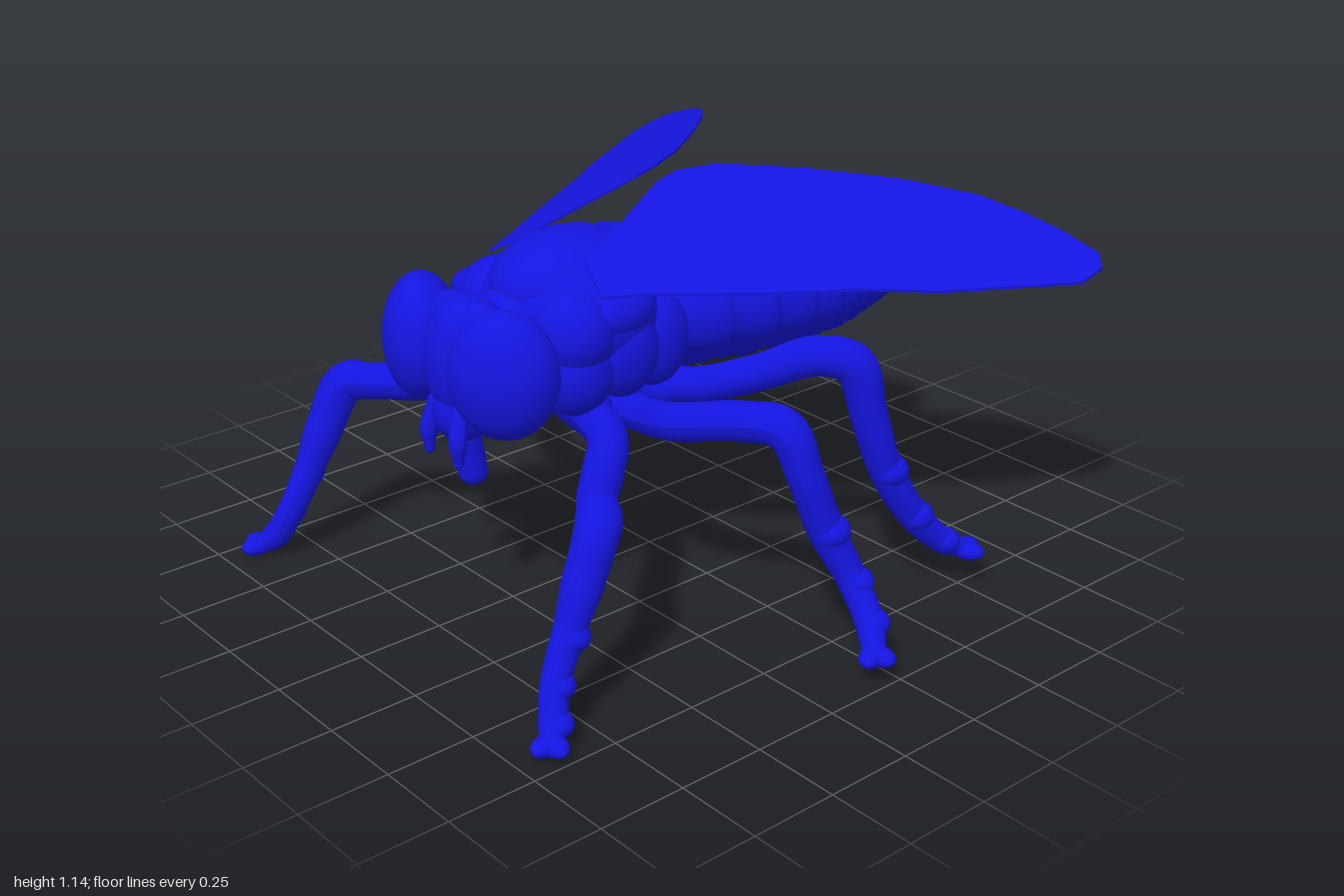
import * as THREE from 'three';

const material = new THREE.MeshStandardMaterial({ color: 0x1515e0, side: THREE.DoubleSide });

function add(parent, name, geometry) {
  const mesh = new THREE.Mesh(geometry, material);
  mesh.name = name;
  parent.add(mesh);
  return mesh;
}

function ellipsoid(parent, name, [x, y, z], [rx, ry, rz], rotY = 0) {
  const mesh = add(parent, name, new THREE.SphereGeometry(1, 32, 20));
  mesh.position.set(x, y, z);
  mesh.scale.set(rx, ry, rz);
  mesh.rotation.y = rotY;
}

// Tube through points [x, y, z, radius], mirrored by side, with rounded ends
function limb(parent, name, points, side = 1) {
  const curve = new THREE.CatmullRomCurve3(points.map(p => new THREE.Vector3(p[0] * side, p[1], p[2])));
  curve.getPointAt = curve.getPoint;
  curve.getTangentAt = curve.getTangent;
  const steps = (points.length - 1) * 7, radial = 14;
  const geo = new THREE.TubeGeometry(curve, steps, 1, radial);
  const pos = geo.attributes.position, v = new THREE.Vector3();
  for (let i = 0; i <= steps; i++) {
    const t = i / steps, c = curve.getPoint(t);
    const k = Math.min(Math.floor(t * (points.length - 1)), points.length - 2);
    const f = THREE.MathUtils.smoothstep(t * (points.length - 1) - k, 0, 1);
    const r = THREE.MathUtils.lerp(points[k][3], points[k + 1][3], f);
    for (let j = 0; j <= radial; j++) {
      const n = i * (radial + 1) + j;
      v.fromBufferAttribute(pos, n).sub(c).multiplyScalar(r).add(c);
      pos.setXYZ(n, v.x, v.y, v.z);
    }
  }
  geo.computeVertexNormals();
  add(parent, name, geo);
  for (const p of [points[0], points.at(-1)])
    ellipsoid(parent, name + 'End', [p[0] * side, p[1], p[2]], [p[3], p[3], p[3]]);
}

// Overlapping abdomen plates: each flares towards the rear, then steps in
function abdomenGeometry() {
  // z, half width, top, bottom
  const profile = [
    [0.12, 0.2, 0.9, 0.6], [0, 0.235, 0.93, 0.575], [-0.25, 0.27, 0.94, 0.55],
    [-0.4, 0.28, 0.935, 0.545], [-0.54, 0.265, 0.915, 0.535], [-0.67, 0.215, 0.875, 0.535],
    [-0.75, 0.172, 0.85, 0.538], [-0.86, 0.11, 0.79, 0.54], [-0.92, 0.07, 0.72, 0.545],
    [-0.955, 0.03, 0.645, 0.57]];
  const bounds = [0.1, -0.1, -0.25, -0.385, -0.5, -0.61, -0.68, -0.75, -0.82, -0.88, -0.925, -0.95];
  const sample = z => {
    let k = 0;
    while (k < profile.length - 2 && z < profile[k + 1][0]) k++;
    const a = profile[k], b = profile[k + 1], f = (z - a[0]) / (b[0] - a[0]);
    return a.map((value, i) => value + (b[i] - value) * f);
  };
  const n = 48, positions = [], index = [];
  let rings = 0;
  const ring = (z, scale) => {
    const [, w, top, bottom] = sample(z);
    for (let j = 0; j < n; j++) {
      const a = j / n * Math.PI * 2, sin = Math.sin(a);
      // Groove between back plates and belly plates
      const s = scale * (1 - 0.05 * Math.exp(-(((sin + 0.55) / 0.1) ** 2)));
      positions.push(Math.cos(a) * w * s, (top + bottom) / 2 + sin * (top - bottom) / 2 * s, z);
    }
    rings++;
  };
  ring(bounds[0], 0.01);
  for (let i = 0; i < bounds.length - 1; i++) {
    const a = bounds[i], b = bounds[i + 1];
    for (const [f, s] of [[0, 0.95], [0.25, 0.98], [0.6, 1.005], [0.88, 1.015], [0.98, 0.995]])
      ring(a + (b - a) * f, s);
  }
  ring(-0.954, 0.6);
  ring(-0.955, 0.01);
  for (let i = 0; i < rings - 1; i++)
    for (let j = 0; j < n; j++) {
      const a = i * n + j, b = i * n + (j + 1) % n;
      index.push(a, a + n, b, b, a + n, b + n);
    }
  const geo = new THREE.BufferGeometry();
  geo.setAttribute('position', new THREE.Float32BufferAttribute(positions, 3));
  geo.setIndex(index);
  geo.computeVertexNormals();
  return geo;
}

// Flat wing outline in x and z, then sheared onto its sloping plane
function wingGeometry(side) {
  const outline = [
    [0.13, 0.33], [0.09, 0.18], [0.04, 0.01], [0.04, -0.06], [0.085, -0.17], [0.24, -0.37],
    [0.41, -0.56], [0.57, -0.7], [0.69, -0.765], [0.79, -0.805], [0.89, -0.83], [0.925, -0.8],
    [0.925, -0.72], [0.85, -0.59], [0.73, -0.385], [0.6, -0.205], [0.475, 0], [0.3, 0.26], [0.24, 0.37]];
  const shape = new THREE.Shape(outline.map(([x, z]) => new THREE.Vector2(x * side, -z)));
  const geo = new THREE.ExtrudeGeometry(shape, { depth: 0.008, bevelEnabled: false });
  geo.rotateX(-Math.PI / 2);
  const pos = geo.attributes.position;
  for (let i = 0; i < pos.count; i++)
    pos.setY(i, pos.getY(i) + 1.131 - 0.459 * Math.abs(pos.getX(i)) - 0.264 * pos.getZ(i));
  geo.computeVertexNormals();
  return geo;
}

// Leg paths: x, y, z, radius from the body to the foot
const legs = {
  frontLeg: [
    [0.08, 0.6, 0.36, 0.06], [0.27, 0.56, 0.38, 0.055], [0.4, 0.525, 0.5, 0.055], [0.5, 0.52, 0.6, 0.052],
    [0.57, 0.505, 0.65, 0.06], [0.59, 0.38, 0.715, 0.054], [0.6, 0.25, 0.775, 0.042],
    [0.615, 0.14, 0.83, 0.038], [0.65, 0.06, 0.865, 0.038], [0.675, 0.035, 0.89, 0.03]],
  middleLeg: [
    [0.08, 0.57, 0.24, 0.06], [0.26, 0.57, 0.24, 0.05], [0.4, 0.6, 0.25, 0.052], [0.57, 0.64, 0.18, 0.054],
    [0.68, 0.64, 0.13, 0.057], [0.73, 0.52, 0.1, 0.05], [0.76, 0.36, 0.05, 0.05],
    [0.82, 0.22, 0.005, 0.042], [0.89, 0.13, 0.01, 0.04], [0.94, 0.075, 0.04, 0.034]],
  rearLeg: [
    [0.08, 0.59, 0.1, 0.06], [0.24, 0.6, 0.06, 0.05], [0.4, 0.66, -0.04, 0.052], [0.52, 0.72, -0.14, 0.056],
    [0.585, 0.695, -0.215, 0.059], [0.615, 0.55, -0.25, 0.052], [0.64, 0.38, -0.3, 0.048],
    [0.675, 0.23, -0.38, 0.044], [0.715, 0.14, -0.46, 0.038], [0.745, 0.11, -0.51, 0.028]]
};

export function createModel() {
  const model = new THREE.Group();
  model.name = 'fly';

  // Thorax
  const thorax = new THREE.Group();
  thorax.name = 'thorax';
  model.add(thorax);
  ellipsoid(thorax, 'thoraxBack', [0, 0.82, 0.29], [0.265, 0.19, 0.24]);
  ellipsoid(thorax, 'thoraxDome', [0, 0.895, 0.28], [0.19, 0.14, 0.235]);
  ellipsoid(thorax, 'thoraxBelly', [0, 0.73, 0.28], [0.25, 0.17, 0.25]);
  ellipsoid(thorax, 'scutellum', [0, 0.94, 0.12], [0.13, 0.07, 0.1]);
  ellipsoid(thorax, 'neck', [0, 0.77, 0.5], [0.15, 0.14, 0.08]);

  // Abdomen
  add(model, 'abdomen', abdomenGeometry());

  // Head with mouthparts
  const head = new THREE.Group();
  head.name = 'head';
  model.add(head);
  ellipsoid(head, 'skull', [0, 0.77, 0.615], [0.23, 0.16, 0.1]);
  ellipsoid(head, 'face', [0, 0.755, 0.635], [0.12, 0.18, 0.1]);
  ellipsoid(head, 'snout', [0, 0.62, 0.65], [0.085, 0.09, 0.075]);
  limb(head, 'proboscis', [[0, 0.6, 0.65, 0.045], [0, 0.5, 0.63, 0.04], [0, 0.43, 0.62, 0.04]]);

  for (const side of [1, -1]) {
    const label = side > 0 ? 'left' : 'right';
    ellipsoid(head, label + 'Eye', [side * 0.18, 0.77, 0.642], [0.15, 0.176, 0.107], side * 0.6);
    limb(head, label + 'Palp',
      [[0.05, 0.64, 0.69, 0.025], [0.065, 0.56, 0.71, 0.025], [0.065, 0.5, 0.71, 0.014]], side);

    // Thorax side plates and wing root
    ellipsoid(thorax, label + 'Shoulder', [side * 0.16, 0.82, 0.4], [0.115, 0.12, 0.115]);
    ellipsoid(thorax, label + 'FrontPlate', [side * 0.17, 0.71, 0.4], [0.095, 0.12, 0.11]);
    ellipsoid(thorax, label + 'MiddlePlate', [side * 0.19, 0.74, 0.26], [0.085, 0.13, 0.11]);
    ellipsoid(thorax, label + 'RearPlate', [side * 0.17, 0.74, 0.13], [0.085, 0.14, 0.1]);
    ellipsoid(thorax, label + 'WingRoot', [side * 0.19, 0.86, 0.29], [0.085, 0.075, 0.13]);

    add(model, label + 'Wing', wingGeometry(side));

    // Legs with hip, shin knobs and a two-lobed foot
    for (const [name, path] of Object.entries(legs)) {
      const leg = new THREE.Group();
      leg.name = label + name[0].toUpperCase() + name.slice(1);
      model.add(leg);
      limb(leg, 'limb', path, side);
      const [hx, hy, hz] = path[0];
      ellipsoid(leg, 'hip', [side * (hx + 0.06), hy, hz], [0.1, 0.065, 0.07]);
      for (const k of [6, 7, 8]) {
        const [x, y, z, r] = path[k];
        ellipsoid(leg, 'knob', [side * (x + 0.008), y - 0.003, z - 0.008], [r * 1.1, r * 0.95, r * 1.1]);
      }
      const [x, y, z] = path.at(-1), [px, , pz] = path.at(-2);
      const angle = Math.atan2(x - px, z - pz);
      for (const spread of [-0.6, 0.6]) {
        const a = angle + spread;
        ellipsoid(leg, 'footLobe', [side * (x + Math.sin(a) * 0.022), y - 0.006, z + Math.cos(a) * 0.022],
          [0.032, 0.026, 0.045], side * a);
      }
    }
  }
  return model;
}
